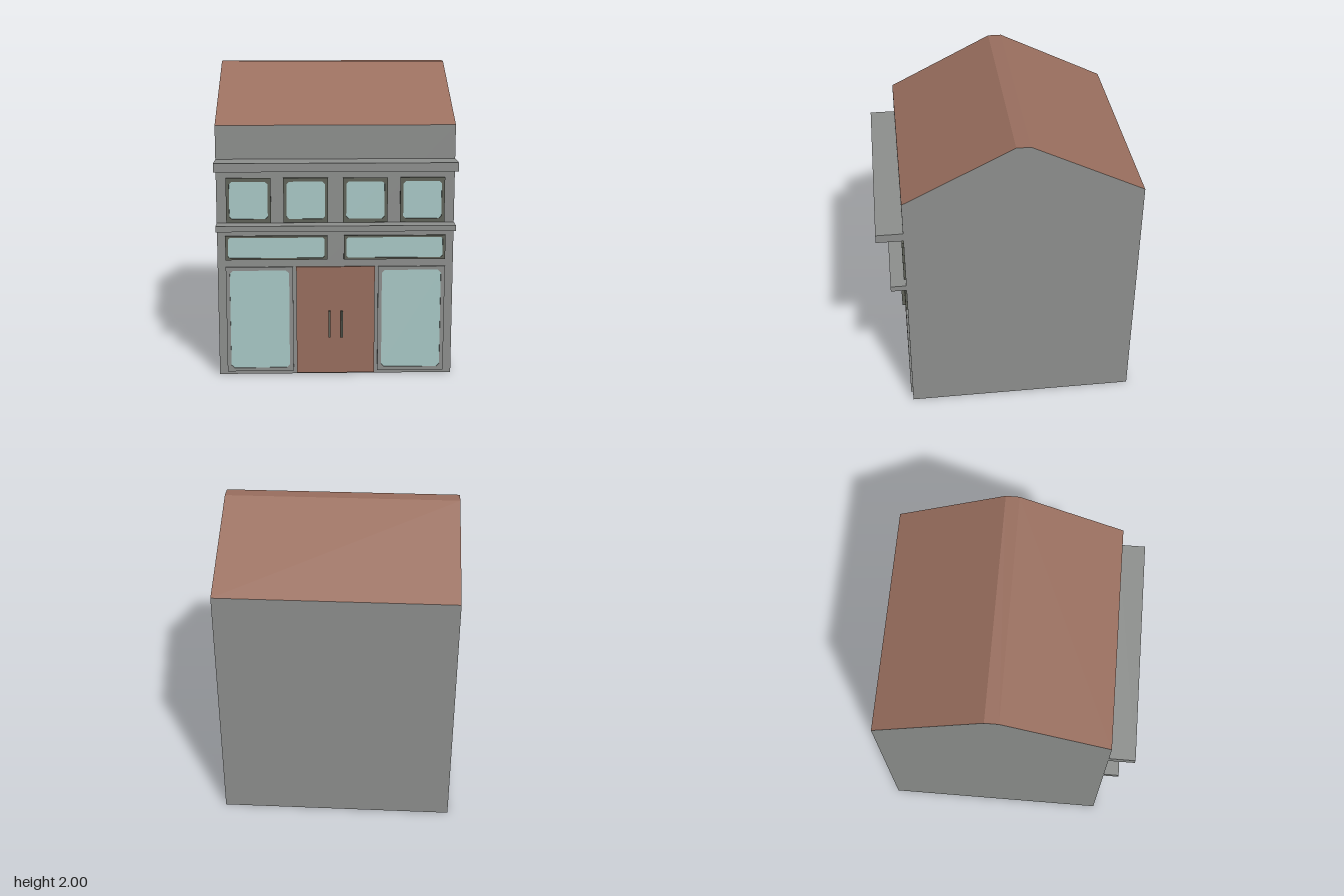
import * as THREE from 'three';

const W = 1.52, FRONT = 0.667, BACK = -0.837;

const mat = (name, color, extra = {}) => {
  const m = new THREE.MeshStandardMaterial({ color, ...extra });
  m.name = name;
  return m;
};

export function createModel() {
  const wall = mat('wallGrey', 0x8e908e);
  const brown = mat('roofBrown', 0x9a6f5f);
  const glass = mat('glass', 0xaacac8);
  const dark = mat('darkFrame', 0x5f6258);

  const group = new THREE.Group();
  const add = (name, geo, material, x = 0, y = 0, z = 0) => {
    const m = new THREE.Mesh(geo, material);
    m.name = name;
    m.position.set(x, y, z);
    group.add(m);
    return m;
  };
  // box given by its height range and depth range
  const block = (name, material, x, w, y0, y1, z0, z1) =>
    add(name, new THREE.BoxGeometry(w, y1 - y0, z1 - z0), material, x, (y0 + y1) / 2, (z0 + z1) / 2);

  // house body: gable profile run along x, upward sloping faces become roof
  const profile = [[FRONT, 0], [FRONT, 1.645], [-0.03, 2], [-0.12, 2], [BACK, 1.645], [BACK, 0]];
  const shape = new THREE.Shape(profile.map(([z, y]) => new THREE.Vector2(-z, y)));
  const body = new THREE.ExtrudeGeometry(shape, { depth: W, bevelEnabled: false });
  body.translate(0, 0, -W / 2).rotateY(Math.PI / 2);
  body.clearGroups();
  const normals = body.attributes.normal;
  for (let i = 0; i < normals.count; i += 3) body.addGroup(i, 3, normals.getY(i) > 0.1 ? 1 : 0);
  add('houseBody', body, [wall, brown]);

  // ledges across the front
  block('upperLedge', wall, 0, W, 1.375, 1.43, FRONT - 0.01, 0.837);
  block('lowerLedge', wall, 0, W, 0.98, 1.017, FRONT - 0.01, 0.767);

  // rectangle with cut corners
  const cutRect = (Type, w, h, c) => {
    const a = w / 2, b = h / 2;
    return new Type([[-a + c, -b], [a - c, -b], [a, -b + c], [a, b - c], [a - c, b], [-a + c, b], [-a, b - c], [-a, -b + c]]
      .map(([x, y]) => new THREE.Vector2(x, y)));
  };
  // raised frame with a pane set inside it
  const addWindow = (name, frameMat, x0, x1, y0, y1, insetX, insetY, cut) => {
    const w = x1 - x0, h = y1 - y0, x = (x0 + x1) / 2, y = (y0 + y1) / 2;
    const frame = new THREE.Shape([[-w, -h], [w, -h], [w, h], [-w, h]].map(([p, q]) => new THREE.Vector2(p / 2, q / 2)));
    frame.holes.push(cutRect(THREE.Path, w - 2 * insetX, h - 2 * insetY, cut));
    add(name + 'Frame', new THREE.ExtrudeGeometry(frame, { depth: 0.012, bevelEnabled: false }), frameMat, x, y, FRONT);
    block(name + 'Glass', glass, x, w - insetX, y0 + insetY / 2, y1 - insetY / 2, FRONT, FRONT + 0.005);
  };

  for (const [side, s] of [['left', 1], ['right', -1]]) {
    const win = (name, m, a, b, ...rest) =>
      addWindow(side + name, m, Math.min(s * a, s * b), Math.max(s * a, s * b), ...rest);
    win('InnerUpperWindow', dark, 0.048, 0.333, 1.02, 1.31, 0.02, 0.024, 0.016);
    win('OuterUpperWindow', dark, 0.413, 0.698, 1.02, 1.31, 0.02, 0.024, 0.016);
    win('Transom', dark, 0.053, 0.708, 0.775, 0.933, 0.017, 0.012, 0.012);
    win('ShopWindow', wall, 0.275, 0.708, 0.022, 0.727, 0.025, 0.023, 0.02);
    // door leaf and handle
    block(side + 'Door', brown, s * 0.127, 0.254, 0.008, 0.727, FRONT, FRONT + 0.012);
    block(side + 'DoorHandle', dark, s * 0.04, 0.013, 0.255, 0.433, FRONT + 0.01, 0.7);
  }
  return group;
}
